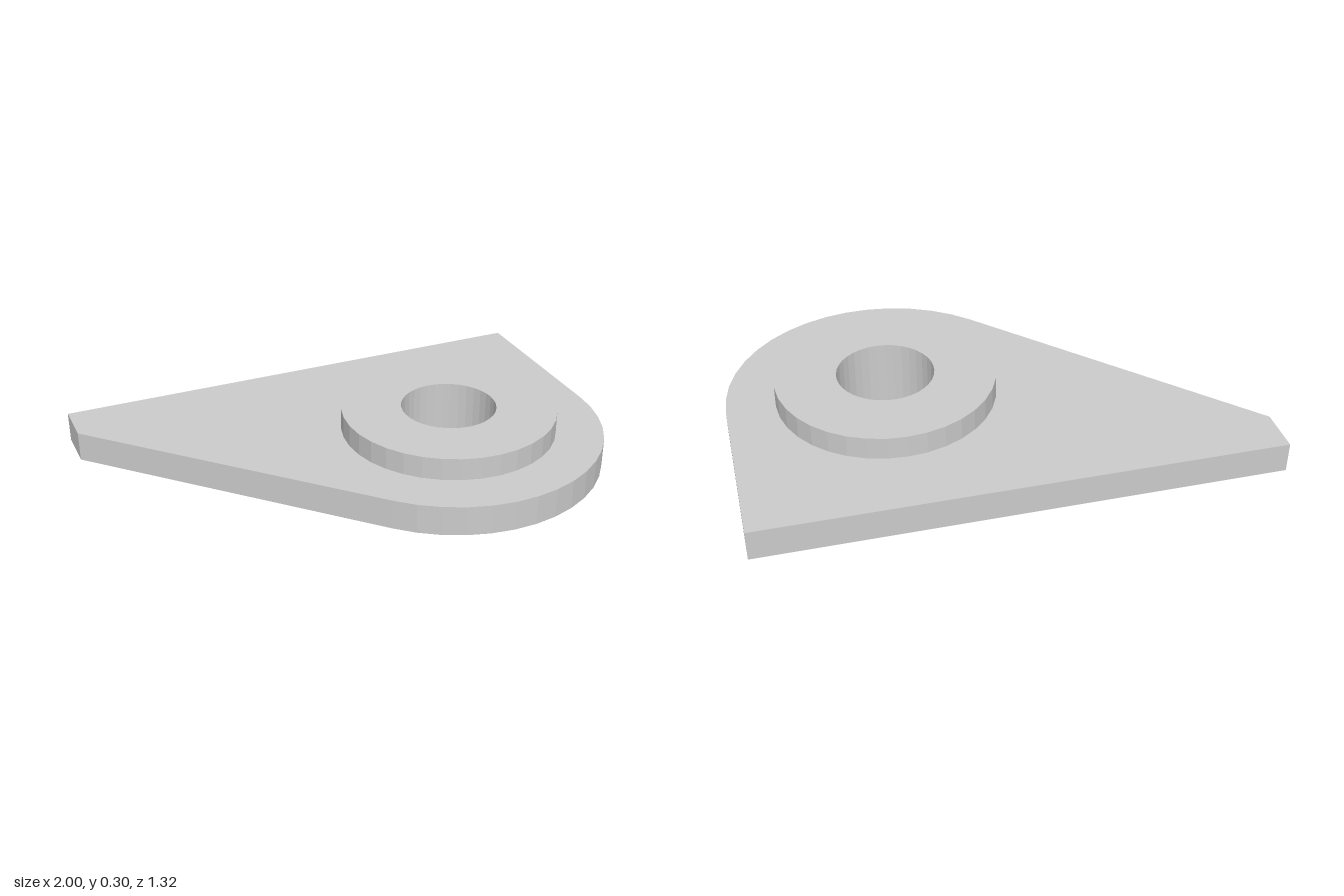
import * as THREE from 'three';

const CX = 0.38, CZ = 0.043;   // bore axis
const LUG_R = 0.62, BOSS_R = 0.43, BORE_R = 0.19;
const BACK = -0.663, CORNER = -0.483;

// Extrude an x/z outline between two heights
function slab(name, shape, bottom, top, curveSegments, material) {
  const geometry = new THREE.ExtrudeGeometry(shape, {
    depth: top - bottom, bevelEnabled: false, curveSegments,
  });
  geometry.rotateX(Math.PI / 2).translate(0, top, 0);
  const mesh = new THREE.Mesh(geometry, material);
  mesh.name = name;
  return mesh;
}

const circle = (Type, r) => new Type().absarc(CX, CZ, r, 0, Math.PI * 2, false);

export function createModel() {
  const group = new THREE.Group();
  group.name = 'bossedPlate';
  const material = new THREE.MeshStandardMaterial({ color: 0xcccccc, flatShading: true });

  // Plate: straight back and side, round lug, slanted edge tangent to the lug
  const dx = -1 - CX, dz = CORNER - CZ;
  const tangent = Math.atan2(dz, dx) - Math.acos(LUG_R / Math.hypot(dx, dz)) + Math.PI * 2;
  const outline = new THREE.Shape();
  outline.moveTo(-1, BACK);
  outline.lineTo(1, BACK);
  outline.lineTo(CX + LUG_R, CZ);
  outline.absarc(CX, CZ, LUG_R, 0, tangent, false);
  outline.lineTo(-1, CORNER);
  outline.closePath();
  outline.holes.push(circle(THREE.Path, BOSS_R - 0.02));
  group.add(slab('plate', outline, 0.09, 0.21, 8, material));

  // Boss: ring standing proud of both plate faces, with a through bore
  const ring = circle(THREE.Shape, BOSS_R);
  ring.holes.push(circle(THREE.Path, BORE_R));
  group.add(slab('boss', ring, 0, 0.3, 18, material));

  return group;
}
